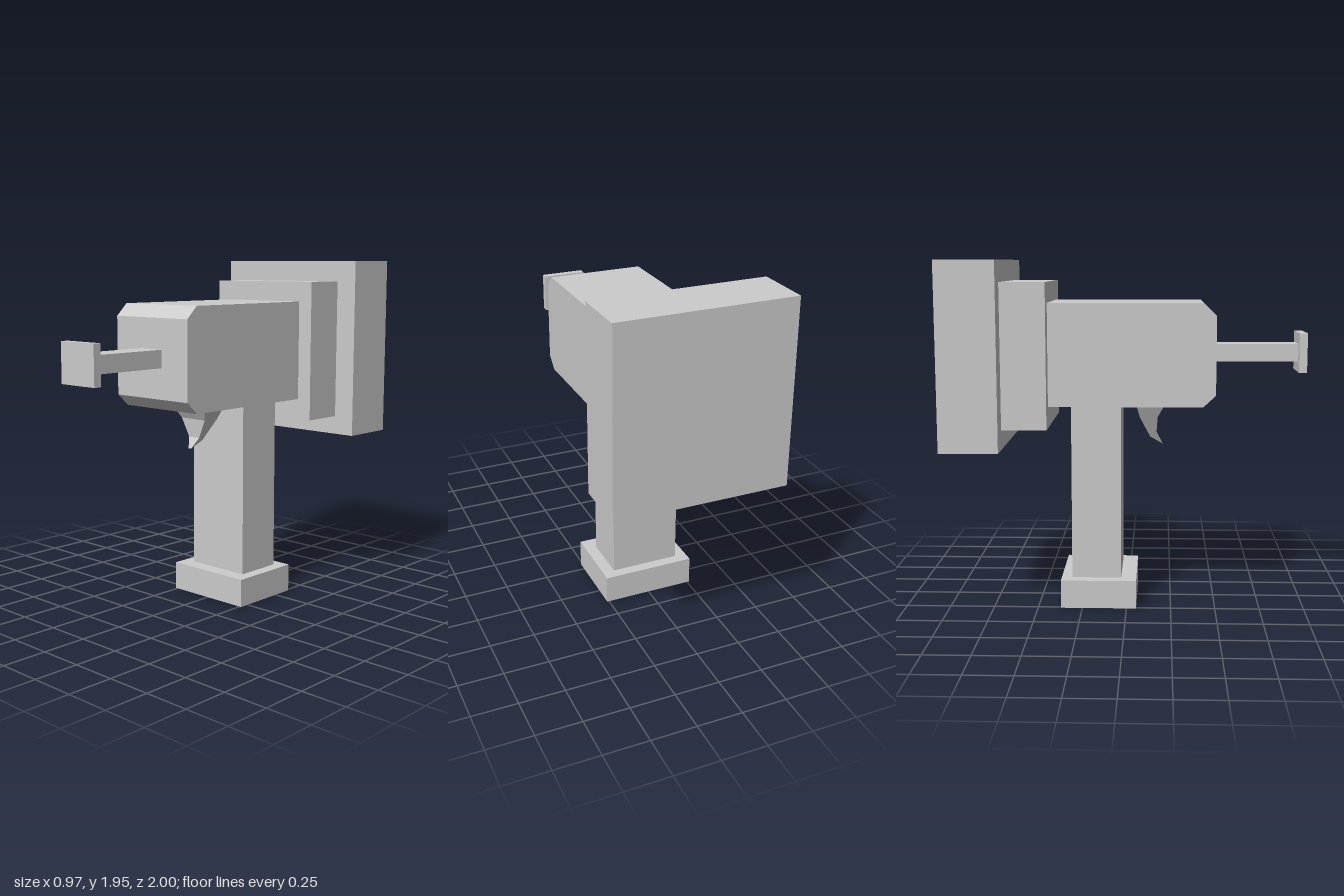
import * as THREE from 'three';

const material = new THREE.MeshStandardMaterial({ color: 0xcccccc, flatShading: true });

export function createModel() {
  const model = new THREE.Group();

  const add = (name, geometry) => {
    const mesh = new THREE.Mesh(geometry, material);
    mesh.name = name;
    model.add(mesh);
    return mesh;
  };

  // Box centred on x = 0, given by its half width and its y and z ranges
  const block = (name, halfW, y0, y1, z0, z1) =>
    add(name, new THREE.BoxGeometry(2 * halfW, y1 - y0, z1 - z0))
      .position.set(0, (y0 + y1) / 2, (z0 + z1) / 2);

  // Side profile of [z, y] points, extruded across x; halfWidth(y) sets the taper
  const sideProfile = (points, halfWidth) => {
    const shape = new THREE.Shape(points.map(([z, y]) => new THREE.Vector2(z, y)));
    const geometry = new THREE.ExtrudeGeometry(shape, { depth: 2, bevelEnabled: false });
    geometry.translate(0, 0, -1).rotateY(-Math.PI / 2);
    const p = geometry.attributes.position;
    for (let i = 0; i < p.count; i++) p.setX(i, p.getX(i) * halfWidth(p.getY(i)));
    geometry.computeVertexNormals();
    return geometry;
  };

  // Grip
  block('base', 0.262, 0, 0.16, -0.37, 0.055);
  block('handle', 0.195, 0.16, 1.15, -0.31, -0.032);

  // Body with chamfered front edges
  add('body', sideProfile([
    [-0.43, 1.15], [0.42, 1.15], [0.49, 1.215], [0.49, 1.65], [0.42, 1.717], [-0.43, 1.717],
  ], () => 0.27));

  // Stepped rear head
  block('rearCollar', 0.358, 1.032, 1.83, -0.677, -0.43);
  block('rearHead', 0.484, 0.925, 1.948, -1, -0.677);

  // Front rod and its end plate
  block('rod', 0.078, 1.385, 1.483, 0.49, 0.955);
  block('rodPlate', 0.127, 1.327, 1.546, 0.955, 1);

  // Hooked trigger, narrowing to its tip
  add('trigger', sideProfile([
    [0.05, 1.15], [0.07, 1.07], [0.13, 0.948], [0.2, 0.905],
    [0.165, 0.965], [0.172, 1.07], [0.215, 1.15],
  ], (y) => THREE.MathUtils.mapLinear(y, 0.905, 1.15, 0.01, 0.128)));

  return model;
}
